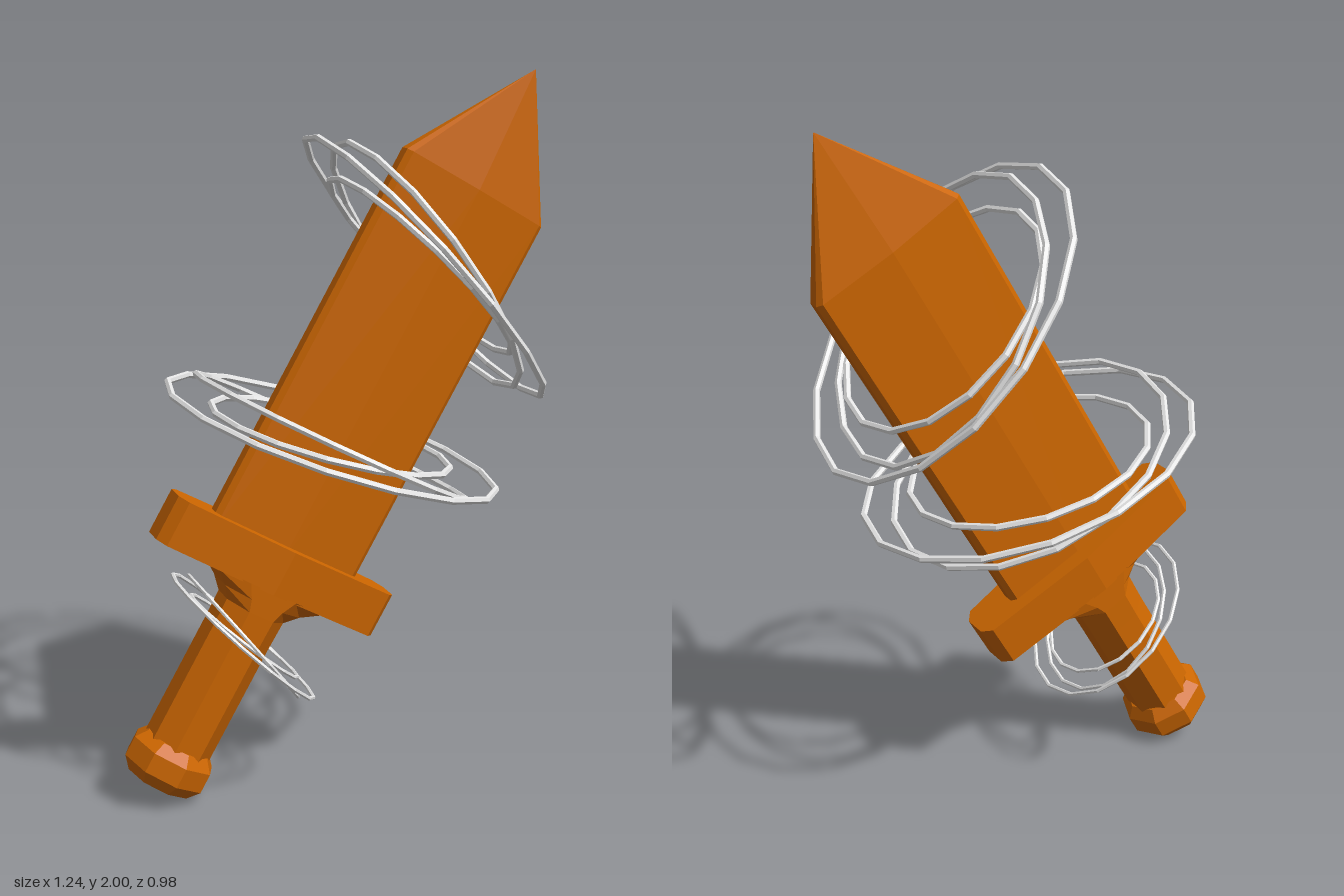
import * as THREE from 'three';

const wood = new THREE.MeshStandardMaterial({ color: 0xcc6600, flatShading: true });
wood.name = 'warm orange brown';
const steel = new THREE.MeshStandardMaterial({ color: 0xeeeeee, flatShading: true });
steel.name = 'pale grey';

function part(name, geometry, material, parent) {
  const mesh = new THREE.Mesh(geometry, material);
  mesh.name = name;
  parent.add(mesh);
  return mesh;
}

// Eight-sided turned part; profile is [radius, height], turn is the angle of the first corner
function turned(profile, turn) {
  const points = profile.map(([r, y]) => new THREE.Vector2(r, y));
  return new THREE.LatheGeometry(points, 8, turn);
}

// Blade: one eight-point section, kept full to the shoulder, then drawn to a point
function bladeGeometry() {
  const half = [[0.237, 0.018], [0.222, 0.032], [0, 0.045], [-0.222, 0.032], [-0.237, 0.018]];
  const section = [...half, ...half.map(([x, z]) => [-x, -z])];
  const n = section.length;
  const positions = [];
  const index = [];
  for (const [y, s] of [[0.5, 1], [1.657, 1], [2.0245, 0.004]]) {
    for (const [x, z] of section) positions.push(x * s, y, z * s);
  }
  for (let k = 0; k < 2; k++) {
    for (let i = 0; i < n; i++) {
      const a = k * n + i;
      const b = k * n + ((i + 1) % n);
      index.push(a, a + n, b, b, a + n, b + n);
    }
  }
  const geometry = new THREE.BufferGeometry();
  geometry.setAttribute('position', new THREE.Float32BufferAttribute(positions, 3));
  geometry.setIndex(index);
  geometry.computeVertexNormals();
  return geometry;
}

// Crossguard: lens-like plan, thickest at the middle, with chamfered ends
function guardGeometry() {
  const half = [[0.362, 0.036], [0.337, 0.068], [0, 0.098], [-0.337, 0.068], [-0.362, 0.036]];
  const plan = [...half, ...half.map(([x, z]) => [-x, -z])];
  const shape = new THREE.Shape(plan.map(([x, z]) => new THREE.Vector2(x, z)));
  const geometry = new THREE.ExtrudeGeometry(shape, { depth: 0.133, bevelEnabled: false });
  return geometry.rotateX(-Math.PI / 2).translate(0, 0.405, 0);
}

// Neck flaring into the guard, flattened front and back
function neckGeometry() {
  const geometry = turned([[0.1, 0.25], [0.102, 0.335], [0.135, 0.37], [0.195, 0.41]], Math.PI / 8);
  const p = geometry.attributes.position;
  for (let i = 0; i < p.count; i++) p.setZ(i, THREE.MathUtils.clamp(p.getZ(i), -0.094, 0.094));
  return geometry;
}

// Ring whose plane holds the direction (dx, dy) and, nearly, the z axis
function ring(name, [x, y, dx, dy, radius, lean], tube, parent) {
  const mesh = part(name, new THREE.TorusGeometry(radius, tube, 6, 16), steel, parent);
  const across = new THREE.Vector3(dx, dy, 0).normalize();
  const side = new THREE.Vector3(-across.y * lean, across.x * lean, 1).normalize();
  const normal = new THREE.Vector3().crossVectors(across, side);
  mesh.quaternion.setFromRotationMatrix(new THREE.Matrix4().makeBasis(across, side, normal));
  mesh.position.set(x, y, 0);
}

export function createModel() {
  const model = new THREE.Group();
  model.name = 'ringedSword';

  // Sword, built upright and then leaned over
  const sword = new THREE.Group();
  sword.name = 'sword';
  sword.position.set(-0.422, 0.245, 0);
  sword.rotation.z = -Math.PI / 6;
  model.add(sword);
  part('blade', bladeGeometry(), wood, sword);
  part('guard', guardGeometry(), wood, sword);
  part('neck', neckGeometry(), wood, sword);
  part('grip', turned([[0.1, -0.12], [0.1, 0.26]], Math.PI / 8), wood, sword);
  part('pommel', turned([
    [0, -0.225], [0.098, -0.225], [0.128, -0.19], [0.128, -0.132], [0.1, -0.1], [0, -0.1],
  ], 0), wood, sword);

  // Floating rings: centre x, y, direction x, y, radius, lean
  const sets = {
    upperRing: { tube: 0.01, rings: [
      [0.26, 1.466, 0.624, -0.741, 0.482, -0.05],
      [0.263, 1.47, 0.45, -0.7, 0.415, 0],
      [0.25, 1.47, 0.42, -0.45, 0.345, 0],
    ] },
    middleRing: { tube: 0.01, rings: [
      [-0.01, 1.01, 0.92, -0.303, 0.482, -0.06],
      [-0.013, 1.007, 0.735, -0.385, 0.415, 0.03],
      [-0.015, 1.01, 0.65, -0.18, 0.345, -0.03],
    ] },
    lowerRing: { tube: 0.006, rings: [
      [-0.278, 0.45, 0.376, -0.36, 0.264, -0.04],
      [-0.277, 0.45, 0.28, -0.36, 0.23, 0],
      [-0.275, 0.45, 0.29, -0.25, 0.19, 0],
    ] },
  };
  for (const [name, { tube, rings }] of Object.entries(sets)) {
    const group = new THREE.Group();
    group.name = name + 's';
    model.add(group);
    rings.forEach((r, i) => ring(name + (i + 1), r, tube, group));
  }
  return model;
}
